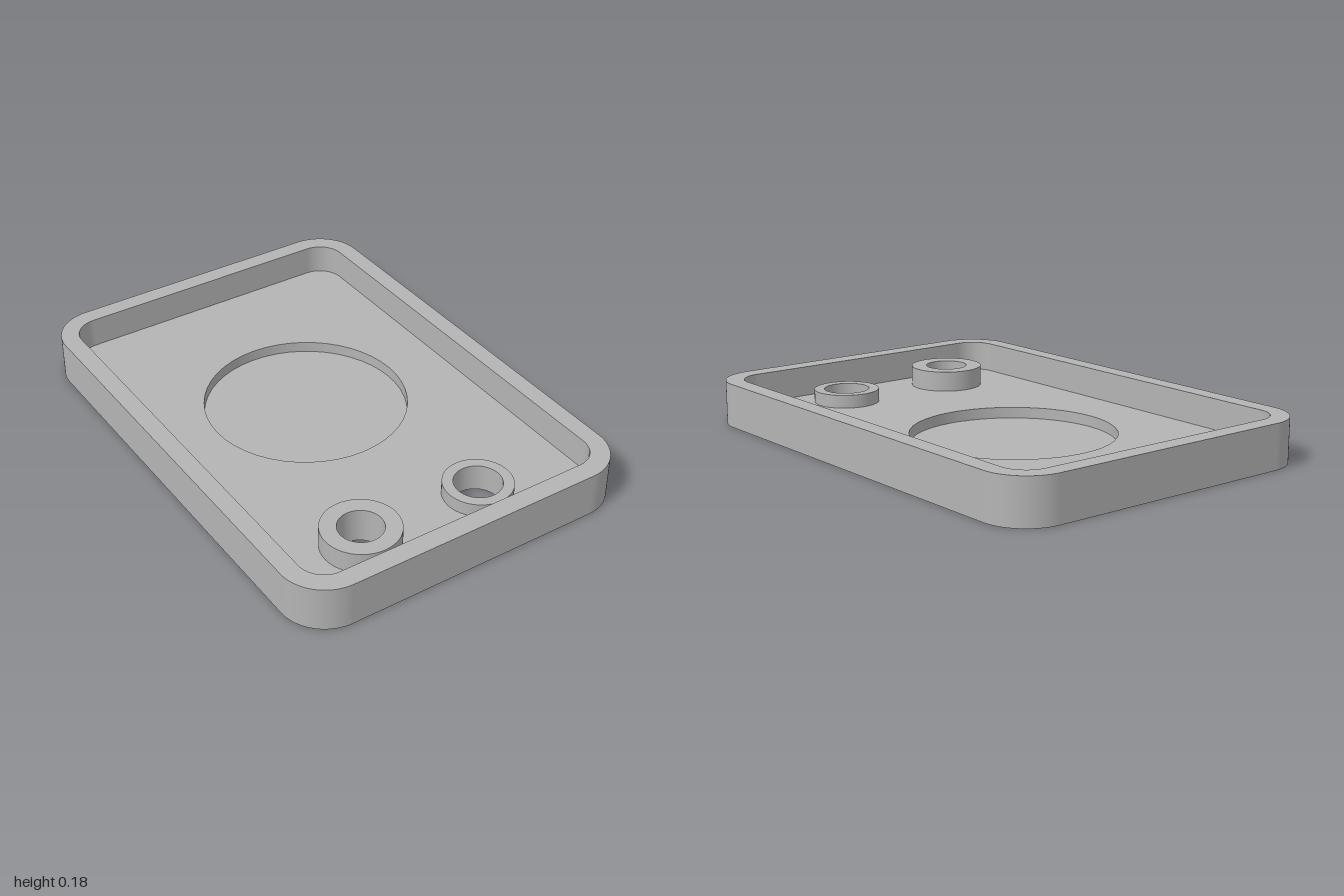
import * as THREE from 'three';

const SEG = 24;
const TOP = 0.18, FLOOR = 0.056, RECESS = 0.011;

// Outlines are drawn in plan, counter-clockwise from above (plan y = -z).
function roundedRect(x, zBack, zFront, r) {
  const s = new THREE.Shape(), top = -zBack, bottom = -zFront, q = Math.PI / 2;
  s.absarc(x - r, bottom + r, r, -q, 0);
  s.absarc(x - r, top - r, r, 0, q);
  s.absarc(-x + r, top - r, r, q, 2 * q);
  s.absarc(-x + r, bottom + r, r, 2 * q, 3 * q);
  s.closePath();
  return s;
}

function circle(x, z, r) {
  return new THREE.Shape().absarc(x, -z, r, 0, Math.PI * 2);
}

// Flat horizontal face at height y, with holes, facing up or down.
function plate(outline, holes, y, down = false) {
  const s = outline.clone();
  s.holes = holes;
  const g = new THREE.ShapeGeometry(s, SEG).rotateX(-Math.PI / 2).translate(0, y, 0);
  if (down) {
    const a = g.index.array;
    for (let i = 0; i < a.length; i += 3) [a[i], a[i + 1]] = [a[i + 1], a[i]];
    g.computeVertexNormals();
  }
  return g;
}

// Smooth vertical band following an outline, facing out or in.
function band(outline, y0, y1, inward = false) {
  const pts = outline.getPoints(SEG);
  if (pts[0].distanceTo(pts[pts.length - 1]) < 1e-5) pts.pop();
  const pos = [], idx = [], n = pts.length;
  pts.forEach((p, i) => {
    pos.push(p.x, y0, -p.y, p.x, y1, -p.y);
    const a = 2 * i, b = 2 * ((i + 1) % n);
    if (inward) idx.push(a, b + 1, b, a, a + 1, b + 1);
    else idx.push(a, b, b + 1, a, b + 1, a + 1);
  });
  const g = new THREE.BufferGeometry();
  g.setAttribute('position', new THREE.Float32BufferAttribute(pos, 3));
  g.setIndex(idx);
  g.computeVertexNormals();
  return g;
}

export function createModel() {
  const model = new THREE.Group();
  model.name = 'tray';
  const grey = new THREE.MeshStandardMaterial({ color: 0xb4b4b4 });
  grey.name = 'grey';

  const add = (name, geometry, parent = model) => {
    const mesh = new THREE.Mesh(geometry, grey);
    mesh.name = name;
    parent.add(mesh);
  };

  const outer = roundedRect(0.707, -1, 1, 0.18);
  const inner = roundedRect(0.633, -0.927, 0.922, 0.105);
  const recess = circle(0, -0.118, 0.407);
  const bosses = [
    { name: 'rightBoss', x: -0.313, r: 0.151, hole: 0.087, top: 0.14 },
    { name: 'leftBoss', x: 0.212, r: 0.135, hole: 0.093, top: 0.11 },
  ].map(b => ({ ...b, ring: circle(b.x, 0.728, b.r), bore: circle(b.x, 0.728, b.hole) }));

  // Shell
  add('outerWall', band(outer, 0, TOP));
  add('rim', plate(outer, [inner], TOP));
  add('innerWall', band(inner, FLOOR, TOP, true));
  add('floor', plate(inner, [recess, ...bosses.map(b => b.ring)], FLOOR));
  add('underside', plate(outer, bosses.map(b => b.bore), 0, true));

  // Round pocket in the floor
  add('recessWall', band(recess, RECESS, FLOOR, true));
  add('recessFloor', plate(recess, [], RECESS));

  // Raised bosses with through holes
  for (const b of bosses) {
    const group = new THREE.Group();
    group.name = b.name;
    add('bossWall', band(b.ring, FLOOR, b.top), group);
    add('bossTop', plate(b.ring, [b.bore], b.top), group);
    add('bossBore', band(b.bore, 0, b.top, true), group);
    model.add(group);
  }
  return model;
}
